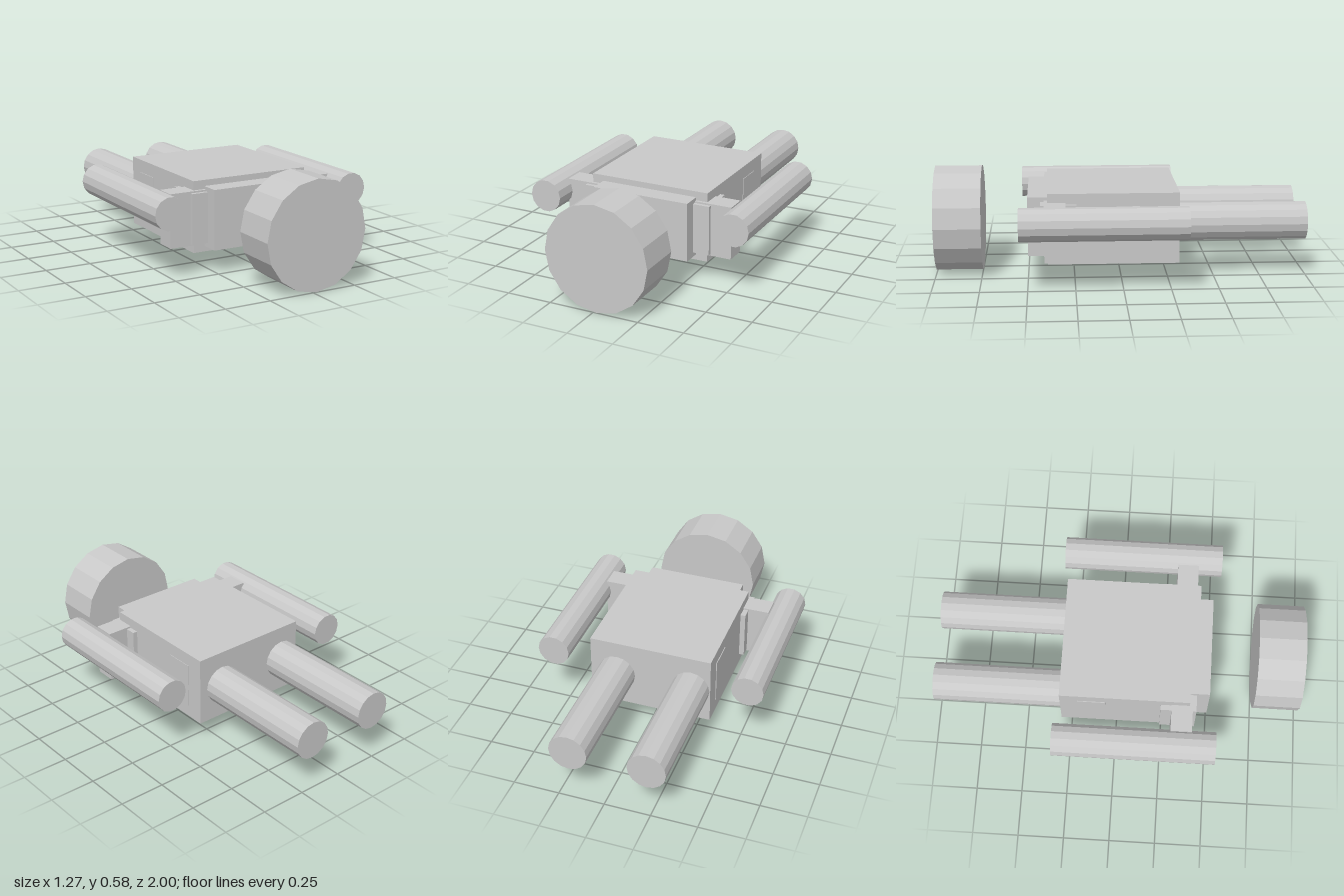
import * as THREE from 'three';

export function createModel() {
  const model = new THREE.Group();
  const grey = new THREE.MeshStandardMaterial({ color: 0xc8c8c8 });
  grey.name = 'light grey';
  grey.flatShading = true;

  function add(name, geometry, x, y, z) {
    const mesh = new THREE.Mesh(geometry, grey);
    mesh.name = name;
    mesh.position.set(x, y, z);
    model.add(mesh);
  }

  // Box given by its extents along each axis
  function box(name, [x0, x1], [y0, y1], [z0, z1]) {
    add(name, new THREE.BoxGeometry(x1 - x0, y1 - y0, z1 - z0),
      (x0 + x1) / 2, (y0 + y1) / 2, (z0 + z1) / 2);
  }

  // Faceted cylinder lying along z, optionally turned about its axis
  function tube(name, x, y, radius, z0, z1, sides = 16, turn = 0) {
    const geometry = new THREE.CylinderGeometry(radius, radius, z1 - z0, sides, 1, false, turn)
      .rotateX(Math.PI / 2);
    add(name, geometry, x, y, (z0 + z1) / 2);
  }

  // Torso with its stacked plates
  box('body', [-0.338, 0.338], [0.1, 0.482], [-0.305, 0.395]);
  box('chestPlate', [-0.275, 0.273], [0.13, 0.45], [0.38, 0.5]);
  box('shoulderBlock', [-0.366, 0.364], [0.155, 0.425], [0.24, 0.432]);
  box('shoulderBar', [-0.482, 0.48], [0.147, 0.434], [0.298, 0.412]);
  box('hipBlock', [-0.342, 0.341], [0.168, 0.412], [-0.208, -0.055]);

  // Head disc floating ahead of the torso
  tube('head', 0.019, 0.289, 0.288, 0.747, 1);

  // Arms and legs
  tube('leftArm', 0.545, 0.368, 0.088, -0.333, 0.542, 14, Math.PI / 14);
  tube('rightArm', -0.547, 0.368, 0.088, -0.333, 0.542, 14, Math.PI / 14);
  tube('leftLeg', 0.189, 0.291, 0.103, -1, -0.28);
  tube('rightLeg', -0.23, 0.291, 0.103, -1, -0.28);

  return model;
}
